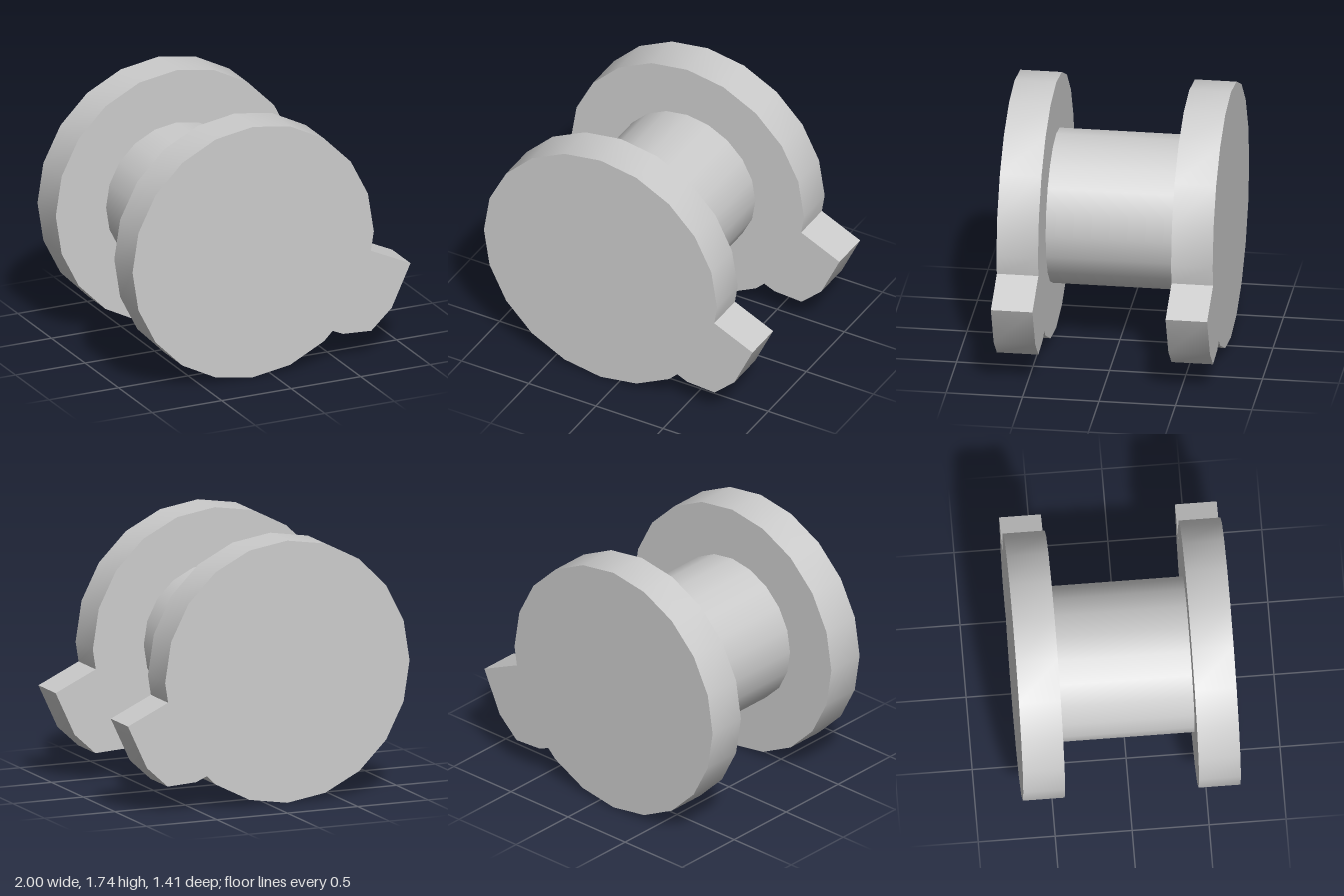
import * as THREE from 'three';
import { toCreasedNormals } from 'three/addons/utils/BufferGeometryUtils.js';

const SIDES = 20;
const CX = -0.132, CY = 0.872; // axis of the spool
const FLANGE_R = 0.868, DRUM_R = 0.506;
const INNER_Z = 0.435, OUTER_Z = 0.707;

// Round 20-sided plate with a pointed lug at its lower left
function flangeShape() {
  const points = [];
  for (let k = 3; k <= SIDES; k++) {
    const a = -k * 2 * Math.PI / SIDES;
    points.push(new THREE.Vector2(CX + FLANGE_R * Math.cos(a), CY + FLANGE_R * Math.sin(a)));
  }
  const lug = [[0.715, 0.74], [1, 0.607], [0.865, 0.32], [0.718, 0.185], [0.515, 0.197], [0.44, 0.23]];
  for (const [x, y] of lug) points.push(new THREE.Vector2(x, y));
  return new THREE.Shape(points);
}

export function createModel() {
  const group = new THREE.Group();
  group.name = 'spool';
  const material = new THREE.MeshStandardMaterial({ color: 0xcccccc });

  // Two matching end flanges
  const extruded = new THREE.ExtrudeGeometry(flangeShape(), { depth: OUTER_Z - INNER_Z, bevelEnabled: false });
  const flangeGeometry = toCreasedNormals(extruded, 0.5);
  for (const [name, z] of [['frontFlange', INNER_Z], ['backFlange', -OUTER_Z]]) {
    const flange = new THREE.Mesh(flangeGeometry, material);
    flange.name = name;
    flange.position.z = z;
    group.add(flange);
  }

  // Drum between the flanges
  const drumGeometry = new THREE.CylinderGeometry(DRUM_R, DRUM_R, 2 * INNER_Z, SIDES, 1, true);
  drumGeometry.rotateX(Math.PI / 2);
  const drum = new THREE.Mesh(drumGeometry, material);
  drum.name = 'drum';
  drum.position.set(CX, CY, 0);
  group.add(drum);

  return group;
}
